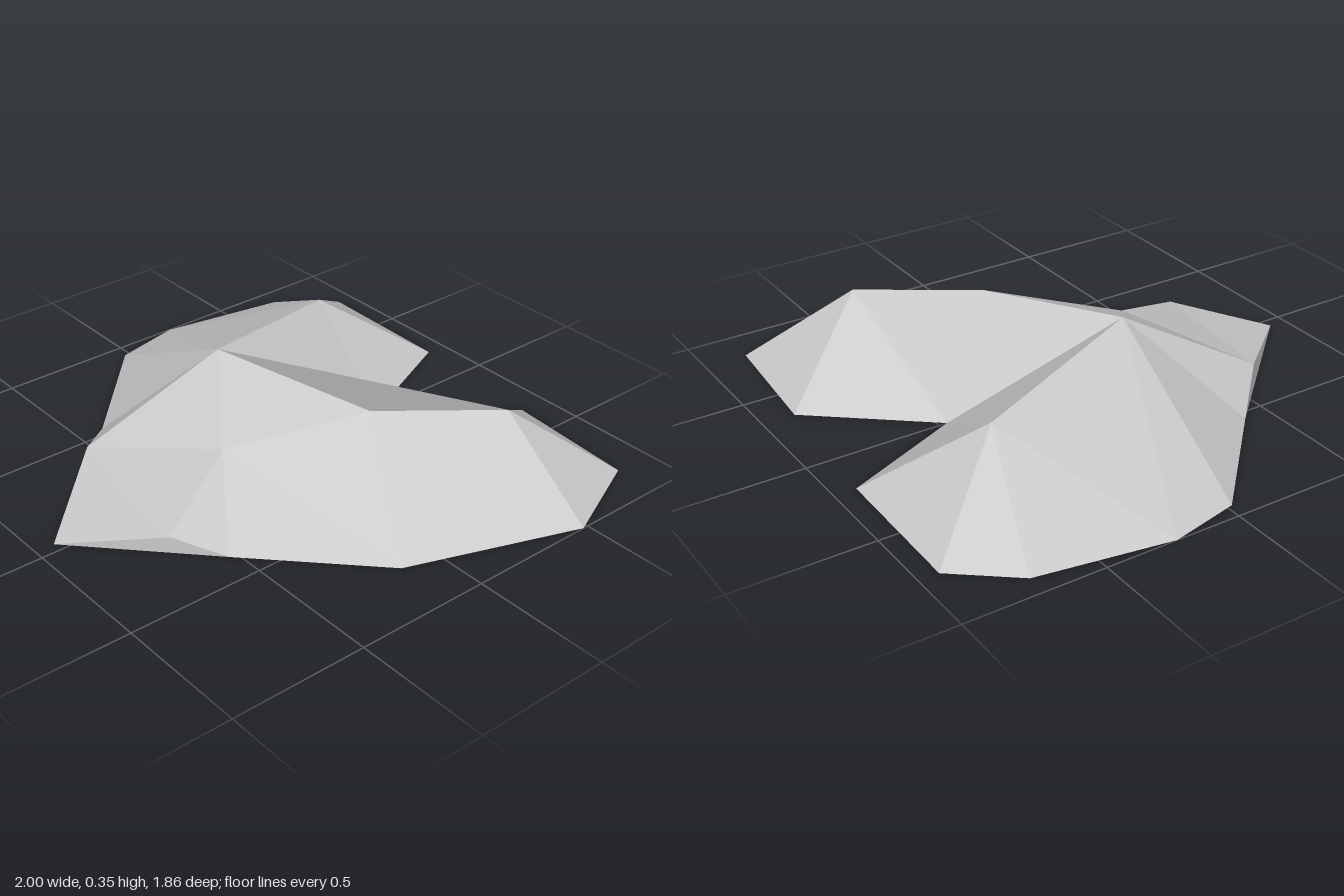
import * as THREE from 'three';

// Rim corners, resting on the ground
const rim = {
  notch: [0, 0, -0.47], backR1: [0.34, 0, -0.88], backR2: [0.84, 0, -0.84],
  sideR: [1, 0, -0.48], waistR: [0.78, 0, 0.14], lowR: [0.38, 0, 0.53],
  tip: [-0.04, 0, 0.93], lowL: [-0.54, 0, 0.4], waistL: [-0.94, 0, 0.02],
  sideL: [-1, 0, -0.24], backL1: [-0.92, 0, -0.72], backL2: [-0.75, 0, -0.93],
  backL3: [-0.2, 0, -0.92],
};
// Raised corners
const top = {
  peak: [-0.24, 0.35, 0.09], ridge: [0.33, 0.28, -0.12], crest: [0.61, 0.27, -0.5],
  lobe: [-0.45, 0.25, -0.56], dip: [0.08, 0.18, 0.32],
  nickL: [-0.36, 0.08, 0.58], nickR: [0.24, 0.06, 0.66],
};
const points = { ...rim, ...top };

const rightLobe = [
  'peak ridge crest notch', 'notch crest backR1', 'crest backR2 backR1',
  'sideR backR2 crest', 'waistR sideR crest', 'ridge waistR crest',
  'dip waistR ridge', 'peak dip ridge',
];
const leftLobe = [
  'peak waistL lowL', 'peak sideL waistL', 'peak lobe sideL', 'lobe backL1 sideL',
  'lobe backL2 backL1', 'lobe backL3 backL2', 'lobe notch backL3', 'lobe peak notch',
];
const frontPoint = [
  'dip lowR waistR', 'dip nickR lowR', 'nickL nickR dip', 'nickL tip nickR',
  'peak nickL dip', 'peak lowL nickL', 'tip lowR nickR', 'lowL tip nickL',
];

// Fans each facet into triangles and gives it one flat normal
function facets(list) {
  const pos = [], nor = [];
  for (const names of list) {
    const c = names.split(' ').map((n) => new THREE.Vector3(...points[n]));
    const normal = new THREE.Vector3();
    c.forEach((p, i) => normal.add(p.clone().cross(c[(i + 1) % c.length])));
    normal.normalize();
    for (let i = 1; i < c.length - 1; i++) {
      for (const p of [c[0], c[i], c[i + 1]]) {
        pos.push(p.x, p.y, p.z);
        nor.push(normal.x, normal.y, normal.z);
      }
    }
  }
  const g = new THREE.BufferGeometry();
  g.setAttribute('position', new THREE.Float32BufferAttribute(pos, 3));
  g.setAttribute('normal', new THREE.Float32BufferAttribute(nor, 3));
  return g;
}

export function createModel() {
  const stone = new THREE.MeshStandardMaterial({ color: 0xc8c8c8, side: THREE.DoubleSide });
  stone.name = 'stone grey';
  const group = new THREE.Group();
  group.name = 'heartShapedRock';
  for (const [name, list] of Object.entries({ rightLobe, leftLobe, frontPoint })) {
    const mesh = new THREE.Mesh(facets(list), stone);
    // the model's own left is +x
    mesh.name = { rightLobe: 'leftLobe', leftLobe: 'rightLobe' }[name] || name;
    group.add(mesh);
  }
  return group;
}
